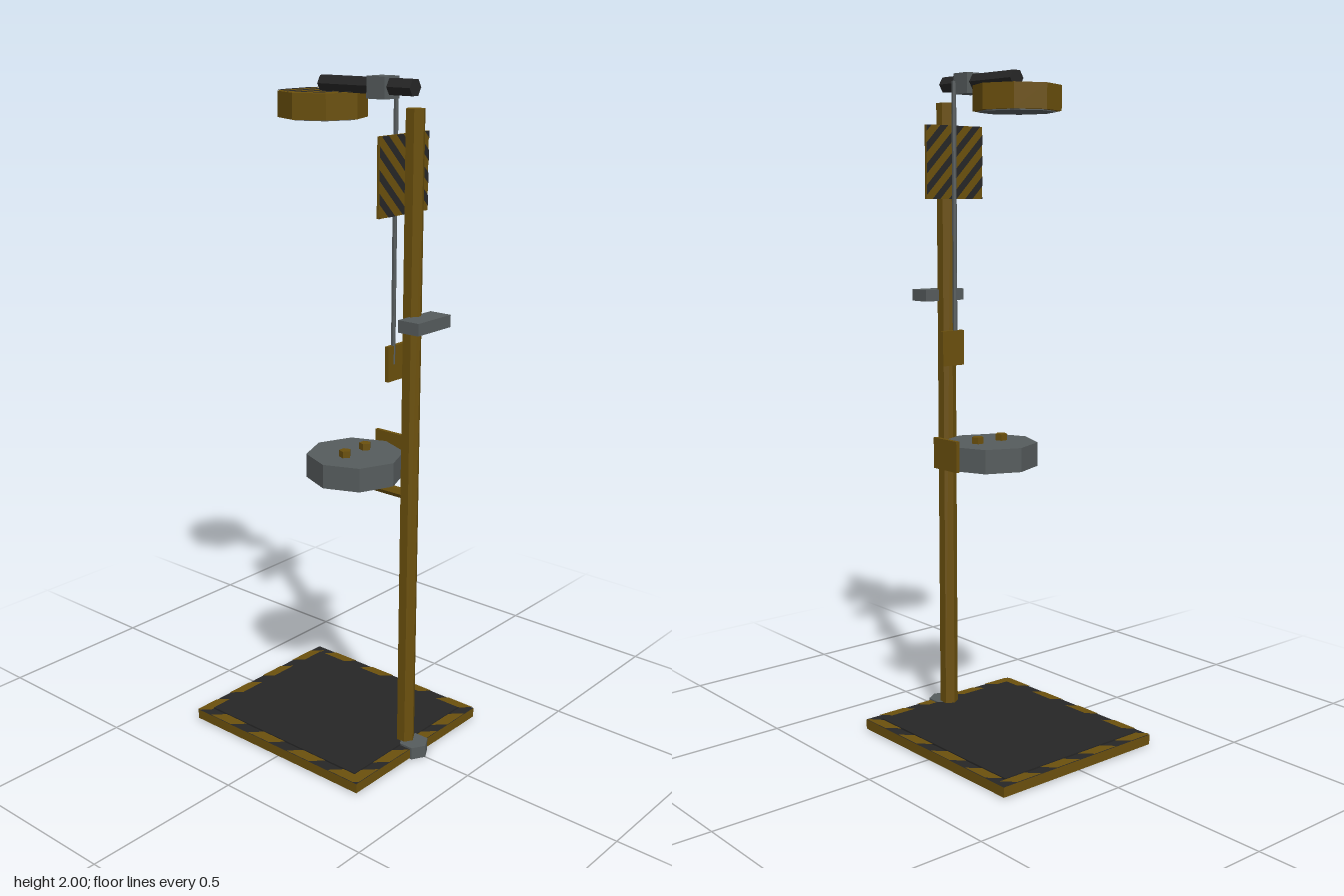
import * as THREE from 'three';

const mat = (name, color) => {
  const m = new THREE.MeshStandardMaterial({ color });
  m.name = name;
  m.flatShading = true;
  return m;
};

// Part of a convex polygon where s * (n . p) >= s * d
function clip(poly, n, d, s) {
  const out = [];
  const f = p => s * (n[0] * p[0] + n[1] * p[1] - d);
  poly.forEach((a, i) => {
    const b = poly[(i + 1) % poly.length];
    const fa = f(a), fb = f(b);
    if (fa >= 0) out.push(a);
    if (fa * fb < 0) {
      const t = fa / (fa - fb);
      out.push([a[0] + (b[0] - a[0]) * t, a[1] + (b[1] - a[1]) * t]);
    }
  });
  return out;
}

// Parallel painted bands cut to the outline of a convex polygon
function bands(poly, n, period, width, offset) {
  const shapes = [];
  for (let k = -30; k <= 30; k++) {
    const lo = offset + k * period;
    const p = clip(clip(poly, n, lo, 1), n, lo + width, -1);
    if (p.length > 2) shapes.push(new THREE.Shape(p.map(q => new THREE.Vector2(q[0], q[1]))));
  }
  return new THREE.ShapeGeometry(shapes);
}

const rect = (x0, x1, y0, y1) => [[x0, y0], [x1, y0], [x1, y1], [x0, y1]];

export function createModel() {
  const model = new THREE.Group();
  model.name = 'emergencyShower';
  const yellow = mat('safety yellow', 0x6b500d);
  const black = mat('black', 0x262626);
  const grey = mat('steel grey', 0x565c5d);

  const add = (name, geo, m, x = 0, y = 0, z = 0) => {
    const mesh = new THREE.Mesh(geo, m);
    mesh.name = name;
    mesh.position.set(x, y, z);
    model.add(mesh);
    return mesh;
  };
  const box = (name, m, x0, x1, y0, y1, z0, z1) =>
    add(name, new THREE.BoxGeometry(x1 - x0, y1 - y0, z1 - z0), m,
      (x0 + x1) / 2, (y0 + y1) / 2, (z0 + z1) / 2);
  const prism = (name, m, r, sides, y0, y1, x, z) =>
    add(name, new THREE.CylinderGeometry(r, r, y1 - y0, sides), m, x, (y0 + y1) / 2, z);
  // Hexagonal pipe along z with a flat on top
  const pipe = (name, m, r, y, z0, z1) =>
    add(name, new THREE.CylinderGeometry(r, r, z1 - z0, 6).rotateY(Math.PI / 6).rotateX(Math.PI / 2),
      m, 0, y, (z0 + z1) / 2);

  // Floor platform: yellow sides, black top, raised tread panel
  const side = yellow;
  box('platform', [side, side, black, yellow, side, side], -0.29, 0.29, 0.002, 0.032, -0.345, 0.313);
  box('treadPanel', black, -0.255, 0.255, 0.03, 0.037, -0.31, 0.277);

  // Hazard marks on the platform rim (drawn in x, -z)
  const rim = [
    [rect(-0.29, 0.29, 0.31, 0.345), 0.15, 0.045],
    [rect(-0.29, 0.29, -0.313, -0.277), 0.143, -0.162],
    [rect(0.255, 0.29, -0.277, 0.31), 0.16, -0.015],
    [rect(-0.29, -0.255, -0.277, 0.31), 0.163, -0.092],
  ];
  for (const [poly, period, offset] of rim) {
    add('rimMarks', bands(poly, [1, 1], period, 0.09, offset).rotateX(-Math.PI / 2), yellow, 0, 0.034, 0);
  }
  // Stripes under the platform
  add('undersideStripes', bands(rect(-0.29, 0.29, -0.345, 0.313), [1, -1], 0.15, 0.075, 0)
    .rotateX(Math.PI / 2), black);

  // Post with its foot and clamp
  prism('post', yellow, 0.028, 6, 0.03, 1.92, 0, 0.265);
  prism('postFoot', grey, 0.045, 6, 0, 0.038, 0, 0.297);
  box('postClamp', grey, -0.073, 0.073, 1.325, 1.36, 0.273, 0.343);

  // Overhead pipe and valve
  pipe('overheadPipe', black, 0.025, 1.973, -0.062, 0.263);
  box('valve', grey, -0.032, 0.032, 1.94, 2.0, 0.121, 0.184);

  // Shower head with striped top and spray plate below
  const headZ = -0.063, headR = 0.127;
  prism('showerHead', yellow, headR, 8, 1.88, 1.952, 0, headZ);
  const octagon = Array.from({ length: 8 }, (_, i) => {
    const a = i * Math.PI / 4;
    return [headR * Math.cos(a), headR * Math.sin(a) - headZ];
  });
  add('headStripes', bands(octagon, [0, 1], 0.0513, 0.0255, 0.039).rotateX(-Math.PI / 2), black, 0, 1.954, 0);
  prism('sprayPlate', grey, 0.112, 8, 1.877, 1.883, 0, headZ);

  // Pull rod and handle plate
  prism('pullRod', grey, 0.007, 6, 1.19, 1.975, 0.055, 0.155);
  box('pullHandle', yellow, 0.028, 0.107, 1.14, 1.245, 0.147, 0.16);

  // Striped warning sign, painted on both faces
  box('sign', yellow, -0.107, 0.107, 1.635, 1.852, 0.222, 0.229);
  const signRect = rect(-0.107, 0.107, -0.1085, 0.1085);
  add('signStripesFront', bands(signRect, [1, 1], 0.062, 0.029, 0.01), black, 0, 1.7435, 0.231);
  add('signStripesBack', bands(signRect, [-1, 1], 0.062, 0.029, 0.01).rotateY(Math.PI), black, 0, 1.7435, 0.22);

  // Eyewash bowl, support arm, nozzles and push paddle
  prism('eyewashBowl', grey, 0.145, 8, 0.84, 0.912, 0, 0.06);
  pipe('bowlArm', yellow, 0.015, 0.828, 0.085, 0.25);
  for (const s of [-1, 1]) prism('eyewashNozzle', yellow, 0.018, 5, 0.905, 0.932, s * 0.046, 0.06);
  box('pushPaddle', yellow, 0.158, 0.17, 0.845, 0.937, 0.008, 0.115);

  return model;
}
